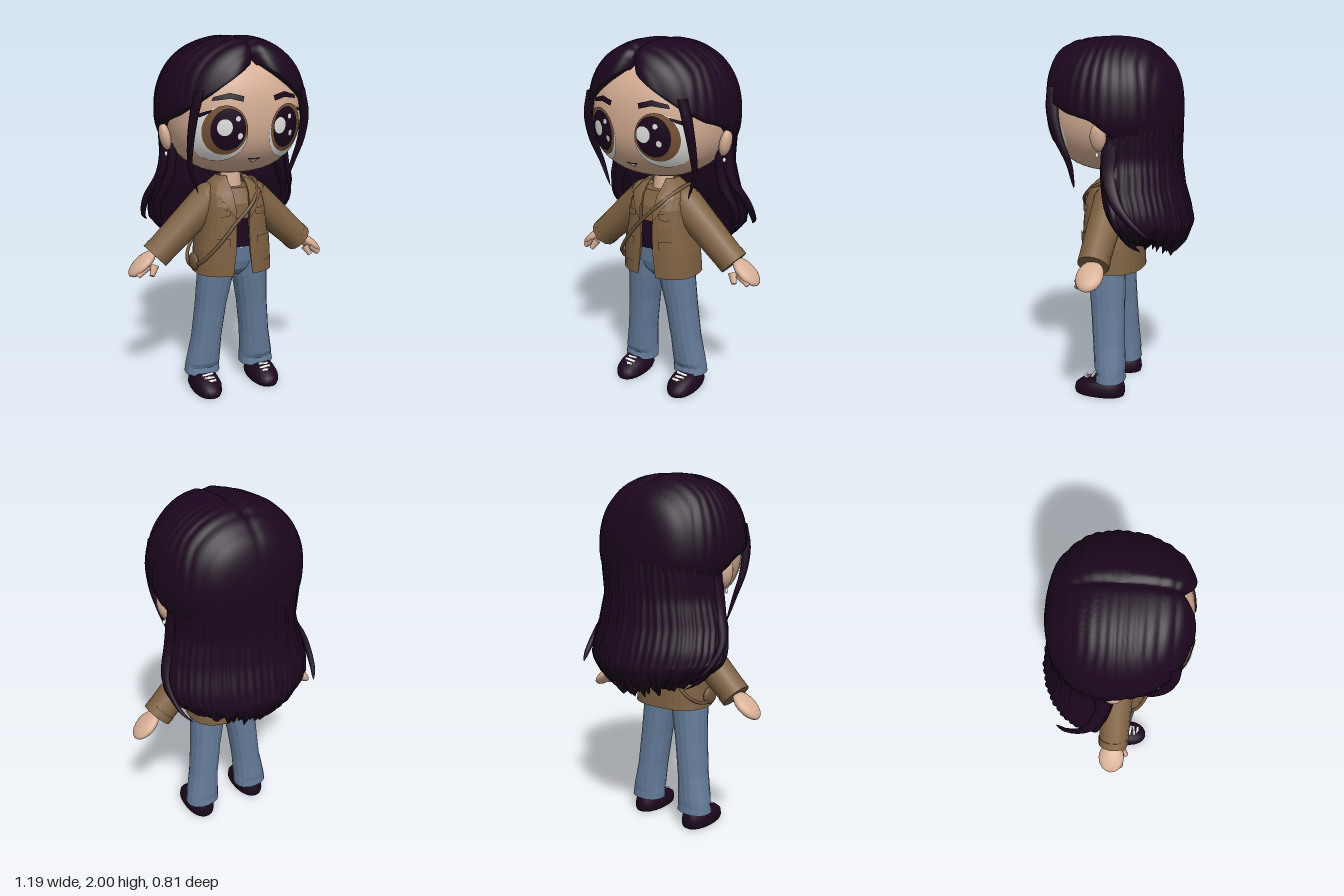
import * as THREE from 'three';

const mat = (name, color) => new THREE.MeshStandardMaterial({ name, color, side: THREE.DoubleSide });
const lerp = THREE.MathUtils.lerp;

// Interpolates rows of numbers keyed by their first entry
function sample(table, k) {
  let i = 0;
  while (i < table.length - 2 && k > table[i + 1][0]) i++;
  const a = table[i], b = table[i + 1];
  const t = THREE.MathUtils.clamp((k - a[0]) / (b[0] - a[0]), 0, 1);
  return a.map((v, j) => lerp(v, b[j], t));
}

// Skins rows of points; closed joins row ends, caps fills the first and last row
function skin(rows, { closed = true, caps = false, flat = false } = {}) {
  const n = rows[0].length, pos = rows.flat(2), idx = [];
  const cols = closed ? n : n - 1;
  for (let i = 0; i < rows.length - 1; i++) for (let j = 0; j < cols; j++) {
    const a = i * n + j, b = i * n + (j + 1) % n, c = b + n, d = a + n;
    idx.push(a, b, c, a, c, d);
  }
  if (caps) [0, rows.length - 1].forEach((r) => {
    const mid = [0, 1, 2].map((k) => rows[r].reduce((s, p) => s + p[k], 0) / n);
    const m = pos.length / 3;
    pos.push(...mid);
    for (let j = 0; j < n; j++) {
      const a = r * n + j, b = r * n + (j + 1) % n;
      idx.push(...(r ? [a, b, m] : [b, a, m]));
    }
  });
  let g = new THREE.BufferGeometry();
  g.setAttribute('position', new THREE.Float32BufferAttribute(pos, 3));
  g.setIndex(idx);
  if (flat) g = g.toNonIndexed();
  g.computeVertexNormals();
  return g;
}

// Superellipse ring point, angle measured from the front (+z) towards +x
function ringPoint(th, rx, rz, n) {
  const s = Math.sin(th), c = Math.cos(th);
  const k = (Math.abs(s) ** n + Math.abs(c) ** n) ** (-1 / n);
  return [rx * s * k, rz * c * k];
}
function ring(y, cx, rx, cz, rz, n = 2.4, segs = 20) {
  return Array.from({ length: segs }, (_, j) => {
    const [x, z] = ringPoint(j / segs * Math.PI * 2, rx, rz, n);
    return [cx + x, y, cz + z];
  });
}

const HEAD = { x: 0.36, z: 0.355, cy: 1.6, cz: 0.045, n: 2.4 };
const headRy = (y) => (y > HEAD.cy ? 0.35 : 0.33);
function faceZ(x, y) {
  const r = 1 - Math.abs(x / HEAD.x) ** HEAD.n - Math.abs((y - HEAD.cy) / headRy(y)) ** HEAD.n;
  return HEAD.cz + HEAD.z * Math.max(0, r) ** (1 / HEAD.n);
}

// Jacket rows: y, half width, front z, back z, half opening
const JACKET = [
  [0.712, 0.226, 0.225, -0.115, 0.058], [0.85, 0.215, 0.225, -0.11, 0.042], [1.0, 0.19, 0.22, -0.105, 0.036],
  [1.1, 0.175, 0.212, -0.1, 0.042], [1.17, 0.16, 0.185, -0.085, 0.05], [1.215, 0.125, 0.135, -0.05, 0.055],
  [1.25, 0.08, 0.1, -0.02, 0.05]];
function jacketZ(x, y) {
  const [, rx, zf, zb] = sample(JACKET, y);
  return (zf + zb) / 2 + (zf - zb) / 2 * Math.max(0, 1 - Math.abs(x / rx) ** 2.6) ** (1 / 2.6);
}

// Thin patches laid on a surface: a strip between two edges, or an ellipse
function strip(top, bottom, zAt, off, steps = 8) {
  const along = (pts, t) => {
    const f = t * (pts.length - 1), i = Math.min(Math.floor(f), pts.length - 2);
    return [lerp(pts[i][0], pts[i + 1][0], f - i), lerp(pts[i][1], pts[i + 1][1], f - i)];
  };
  const rows = [0, 0.33, 0.67, 1].map((v) => Array.from({ length: steps + 1 }, (_, j) => {
    const a = along(bottom, j / steps), b = along(top, j / steps);
    const x = lerp(a[0], b[0], v), y = lerp(a[1], b[1], v);
    return [x, y, zAt(x, y) + off];
  }));
  return skin(rows, { closed: false });
}
function disc(cx, cy, rx, ry, off) {
  const rows = [1, 0.8, 0.6, 0.4, 0.2, 0].map((r) => Array.from({ length: 32 }, (_, j) => {
    const a = j / 32 * Math.PI * 2, x = cx + Math.cos(a) * rx * r, y = cy + Math.sin(a) * ry * r;
    return [x, y, faceZ(x, y) + off];
  }));
  return skin(rows);
}

// Tapered lock of hair along a curve
function lock(points, radius) {
  const curve = new THREE.CatmullRomCurve3(points.map((p) => new THREE.Vector3(...p)));
  const rows = Array.from({ length: 17 }, (_, i) => {
    const t = i / 16, p = curve.getPoint(t), r = radius * (1 - t) ** 0.6 + 0.001;
    return Array.from({ length: 8 }, (_, j) => {
      const a = j / 8 * Math.PI * 2;
      return [p.x + Math.sin(a) * r * 0.6, p.y, p.z + Math.cos(a) * r];
    });
  });
  return skin(rows);
}

// Depth of the furrows between strands
const furrow = (p) => 0.017 - 0.011 * Math.abs(Math.sin(p)) - 0.006 * Math.abs(Math.sin(p * 0.37 + 1));

// Parted crown of hair; its lower edge frames the face
function crownGeometry() {
  const edge = [[0, 1.875], [18, 1.8], [33, 1.725], [48, 1.65], [63, 1.6], [85, 1.56], [98, 1.5], [110, 1.42], [180, 1.42]];
  const cols = 180, steps = 32, rows = [];
  for (let i = 0; i <= steps + 1; i++) {
    const t = Math.min(i / steps, 1), tuck = i > steps ? 0.86 : 1;
    rows.push(Array.from({ length: cols }, (_, j) => {
      const th = j / cols * Math.PI * 2, deg = Math.abs(THREE.MathUtils.radToDeg(th > Math.PI ? th - 2 * Math.PI : th));
      const y = 2 - (2 - sample(edge, deg)[1]) * t ** 2.2, front = Math.max(0, Math.cos(th));
      const h = Math.abs((y - 1.6) / (y > 1.6 ? 0.4 : 0.3)), n = 2.4 + front;
      const r = (1 - h ** 2.25) ** (1 / 2.25), rz = (1 - h ** n) ** (1 / n);
      const [x, z] = ringPoint(th, 0.412 * r, lerp(0.36, 0.4, front) * rz, 2.25);
      const cut = furrow(Math.atan2(Math.max(Math.abs(x), 0.3), z) * 22) * Math.min(1, 2 * t);
      const part = Math.exp(-((x / 0.025) ** 2)) * (z > -0.2 ? 1 : 0.3);
      const notch = z > 0 ? 0.28 * t ** 3 * Math.exp(-Math.abs(x) / 0.05) : 0;
      const k = tuck * (1 - cut * 1.2);
      return [x * k, y - 0.02 * part - (1 - t) * cut * 0.9, 0.03 + z * k * (1 - notch)];
    }));
  }
  return skin(rows.reverse());
}

// Long hair down the back: y, half width, front z, back z
function maneGeometry() {
  const table = [[0.85, 0.33, -0.1, -0.32], [0.9, 0.39, -0.09, -0.37], [0.98, 0.435, -0.08, -0.4], [1.08, 0.448, -0.05, -0.38],
    [1.2, 0.42, -0.01, -0.345], [1.35, 0.378, 0, -0.325], [1.5, 0.38, -0.02, -0.328], [1.6, 0.385, -0.02, -0.325], [1.72, 0.35, -0.02, -0.29]];
  const rows = [], n = 120;
  for (let i = 0; i <= 32; i++) {
    const y = lerp(0.85, 1.72, i / 32), [, w, zf, zb] = sample(table, y), row = [];
    const low = Math.max(0, 1 - i / 7), power = lerp(1.9, 2.25, i / 32);
    for (let j = 0; j <= n; j++) {
      const s = j / n * Math.PI, g = furrow(j * 0.8 + Math.sin(y * 9) * 0.6) * (0.7 + low);
      const rag = low * (0.025 * Math.sin(j * 1.6) + 0.02 * Math.sin(j * 0.6) + 0.09 * Math.cos(s) ** 2);
      const [x, z] = ringPoint(Math.PI / 2 + s, w - g, zf - zb - g, power);
      row.push([x, y + rag, zf + z]);
    }
    for (let j = 20; j > 0; j--) {
      const s = j / 21 * Math.PI;
      row.push([-Math.cos(s) * -w * 0.96, y + low * 0.09 * Math.cos(s) ** 2, zf - 0.05 * Math.sin(s)]);
    }
    rows.push(row);
  }
  return skin(rows, { caps: true });
}

function jacketGeometry() {
  const rows = JACKET.map(([y, rx, zf, zb, gap], i) => {
    const a = Math.atan(gap / rx), out = [], back = [], thin = i === 0 ? 0.995 : 0.94;
    for (let j = 0; j <= 32; j++) {
      const [x, z] = ringPoint(lerp(a, 2 * Math.PI - a, j / 32), rx, (zf - zb) / 2, 2.6), cz = (zf + zb) / 2;
      out.push([x, y, cz + z]);
      back.unshift([x * thin, y, cz + z * thin]);
    }
    return [...out, ...back];
  });
  return skin(rows, { flat: true });
}

export function createModel() {
  const hair = mat('dark plum', 0x1b061d), flesh = mat('skin', 0xd6ae95), coat = mat('jacket brown', 0x7e6142),
    denim = mat('denim blue', 0x647b99), white = mat('eye white', 0xe6e6e4), iris = mat('iris brown', 0x7a5436),
    leather = mat('strap brown', 0x6e5338);
  const model = new THREE.Group();
  const add = (name, geo, m, parent = model) => {
    const mesh = new THREE.Mesh(geo, m);
    mesh.name = name;
    parent.add(mesh);
    return mesh;
  };
  const between = (name, a, b, r0, r1, m, parent, segs = 14) => {
    const va = new THREE.Vector3(...a), d = new THREE.Vector3(...b).sub(va);
    const mesh = add(name, new THREE.CylinderGeometry(r1, r0, d.length(), segs), m, parent);
    mesh.position.copy(va).addScaledVector(d, 0.5);
    mesh.quaternion.setFromUnitVectors(new THREE.Vector3(0, 1, 0), d.normalize());
  };
  const ball = (name, p, s, m, parent) => {
    const mesh = add(name, new THREE.SphereGeometry(1, 16, 12), m, parent);
    mesh.position.set(...p);
    mesh.scale.set(...s);
    return mesh;
  };

  // Head, neck and hair
  const headRows = Array.from({ length: 29 }, (_, i) => {
    const v = Math.sin((i / 28 - 0.5) * Math.PI), r = Math.max(0, 1 - Math.abs(v) ** HEAD.n) ** (1 / HEAD.n);
    return ring(HEAD.cy + v * (v > 0 ? 0.35 : 0.33), 0, HEAD.x * r, HEAD.cz, HEAD.z * r, HEAD.n, 48);
  });
  add('head', skin(headRows), flesh);
  between('neck', [0, 1.1, 0.045], [0, 1.32, 0.045], 0.075, 0.048, flesh, model);
  add('hairCrown', crownGeometry(), hair);
  add('hairMane', maneGeometry(), hair);
  add('mouth', strip([[-0.035, 1.387], [0, 1.381], [0.035, 1.387]], [[-0.034, 1.382], [0, 1.355], [0.034, 1.382]], faceZ, 0.005), hair);
  add('teeth', strip([[-0.025, 1.379], [0, 1.375], [0.025, 1.379]], [[-0.02, 1.375], [0, 1.36], [0.02, 1.375]], faceZ, 0.008), white);

  // Torso
  const torso = (name, y0, y1, m) => add(name, skin([y0, lerp(y0, y1, 0.5), y1].map((y) => {
    const [, rx, zf, zb] = sample(JACKET, y);
    return ring(y, 0, rx * 0.88, (zf + zb) / 2, (zf - zb) / 2 * 0.88, 2.6, 28);
  }), { caps: true, flat: true }), m);
  torso('shirtUpper', 1.03, 1.19, coat);
  torso('shirtLower', 0.87, 1.03, hair);
  add('jeansHips', skin([[0.69, 0.03, 0.07], [0.73, 0.11, 0.1], [0.78, 0.19, 0.114], [0.88, 0.185, 0.122]].map(([y, rx, rz]) =>
    ring(y, 0, rx, 0.067, rz, 2.6, 24)), { caps: true, flat: true }), denim);
  ball('jeansButton', [0, 0.865, 0.187], [0.008, 0.008, 0.004], white);
  add('jacketBody', jacketGeometry(), coat);

  // Parts built on the left side, then mirrored
  const left = new THREE.Group();
  left.name = 'leftSide';
  model.add(left);
  ball('ear', [0.372, 1.475, 0.028], [0.03, 0.073, 0.043], flesh, left).rotation.z = -0.2;
  ball('earring', [0.37, 1.385, 0.035], [0.009, 0.013, 0.009], white, left);
  add('eyeWhite', disc(0.188, 1.512, 0.128, 0.14, 0.006), white, left);
  add('eyeIris', disc(0.17, 1.535, 0.106, 0.125, 0.01), iris, left);
  add('eyePupil', disc(0.159, 1.54, 0.083, 0.106, 0.014), hair, left);
  add('eyebrow', strip([[0.08, 1.702], [0.15, 1.72], [0.225, 1.7]], [[0.088, 1.676], [0.15, 1.692], [0.235, 1.68]], faceZ, 0.007), hair, left);
  add('eyelash', strip([[0.235, 1.64], [0.285, 1.62], [0.315, 1.625]], [[0.24, 1.625], [0.285, 1.6], [0.31, 1.615]], faceZ, 0.014), hair, left);
  add('frontLock', lock([[0.28, 1.73, 0.3], [0.312, 1.6, 0.3], [0.318, 1.46, 0.265], [0.3, 1.33, 0.215], [0.255, 1.19, 0.205]], 0.04), hair, left);
  add('sideLock', lock([[0.35, 1.45, -0.03], [0.38, 1.28, -0.03], [0.445, 1.13, -0.1], [0.43, 1.0, -0.22], [0.39, 0.95, -0.29]], 0.045), hair, left);
  add('sideLockInner', lock([[0.32, 1.45, -0.03], [0.34, 1.25, -0.02], [0.4, 1.08, -0.06], [0.33, 0.92, -0.13], [0.24, 0.86, -0.16]], 0.055), hair, left);

  // Sleeve, cuff and hand
  ball('shoulder', [0.135, 1.115, 0.035], [0.085, 0.095, 0.095], coat, left);
  between('sleeve', [0.13, 1.115, 0.035], [0.43, 0.84, 0.035], 0.098, 0.082, coat, left);
  between('cuff', [0.415, 0.854, 0.033], [0.447, 0.824, 0.033], 0.085, 0.084, coat, left);
  ball('hand', [0.52, 0.787, 0.027], [0.095, 0.034, 0.073], flesh, left).rotation.z = -0.7;
  between('finger', [0.5, 0.785, 0.075], [0.56, 0.735, 0.08], 0.024, 0.015, flesh, left, 8);
  between('thumb', [0.465, 0.785, 0.085], [0.49, 0.738, 0.11], 0.024, 0.014, flesh, left, 8);

  // Lapel and pockets
  add('lapel', strip([[0.05, 1.245], [0.1, 1.22], [0.135, 1.165]], [[0.04, 1.03], [0.06, 1.06], [0.105, 1.13]], jacketZ, 0.009), coat, left);
  add('chestPocket', strip([[0.075, 1.085], [0.155, 1.085]], [[0.075, 1.055], [0.115, 1.045], [0.155, 1.055]], jacketZ, 0.008), coat, left);
  add('hipPocket', strip([[0.085, 0.9], [0.185, 0.9]], [[0.085, 0.78], [0.19, 0.78]], jacketZ, 0.005), coat, left);
  add('hipPocketFlap', strip([[0.08, 0.93], [0.185, 0.93]], [[0.08, 0.89], [0.13, 0.88], [0.19, 0.89]], jacketZ, 0.009), coat, left);

  // Flared trouser leg, shoe and laces
  const leg = [[0.088, 0.175, 0.103, 0.028, 0.084], [0.13, 0.172, 0.1, 0.026, 0.078], [0.16, 0.17, 0.097, 0.032, 0.086], [0.3, 0.153, 0.085, 0.043, 0.089],
    [0.5, 0.13, 0.087, 0.055, 0.095], [0.68, 0.106, 0.1, 0.068, 0.104], [0.78, 0.097, 0.1, 0.07, 0.112]];
  add('jeansLeg', skin(leg.map(([y, cx, rx, cz, rz]) => ring(y, cx, rx, cz, rz, 2.3, 16)), { caps: true, flat: true }), denim, left);
  const shoe = [[0, 0.076, 0.09, 0.143], [0.02, 0.084, 0.09, 0.148], [0.05, 0.082, 0.088, 0.144], [0.075, 0.072, 0.075, 0.125], [0.1, 0.055, 0.045, 0.085]];
  add('shoe', skin(shoe.map(([y, rx, cz, rz]) => ring(y, 0.182, rx, cz, rz, 2.3, 24)), { caps: true }), hair, left);
  for (let i = 0; i < 3; i++) {
    const lace = add('shoelace', new THREE.BoxGeometry(0.065, 0.008, 0.015), white, left);
    lace.position.set(0.178, 0.1 - i * 0.01, 0.13 + i * 0.024);
    lace.rotation.set(0.5, 0, i % 2 ? 0.2 : -0.2);
  }
  const right = left.clone();
  right.name = 'rightSide';
  right.scale.x = -1;
  model.add(right);

  // Eye highlights share one light direction
  [-0.18, 0.115].forEach((x) => {
    add('eyeHighlight', disc(x, 1.552, 0.036, 0.042, 0.018), white);
    add('eyeGlint', disc(x + 0.075, 1.508, 0.013, 0.016, 0.018), white);
    add('eyeGlintUpper', disc(x + 0.062, 1.595, 0.012, 0.013, 0.018), white);
  });

  // Crossbody strap and pouch on the right hip
  const path = [[0.135, 1.205, 0.09], [0.06, 1.12, 0.215], [-0.05, 1.01, 0.23], [-0.15, 0.89, 0.215], [-0.225, 0.79, 0.15], [-0.245, 0.75, 0.03],
    [-0.21, 0.8, -0.085], [-0.1, 0.95, -0.12], [0.04, 1.11, -0.11], [0.135, 1.21, -0.01]].map((p) => new THREE.Vector3(...p));
  add('bagStrap', new THREE.TubeGeometry(new THREE.CatmullRomCurve3(path, true), 80, 0.01, 8, true), leather);
  ball('pouch', [-0.238, 0.78, 0.08], [0.022, 0.05, 0.055], leather);
  return model;
}
